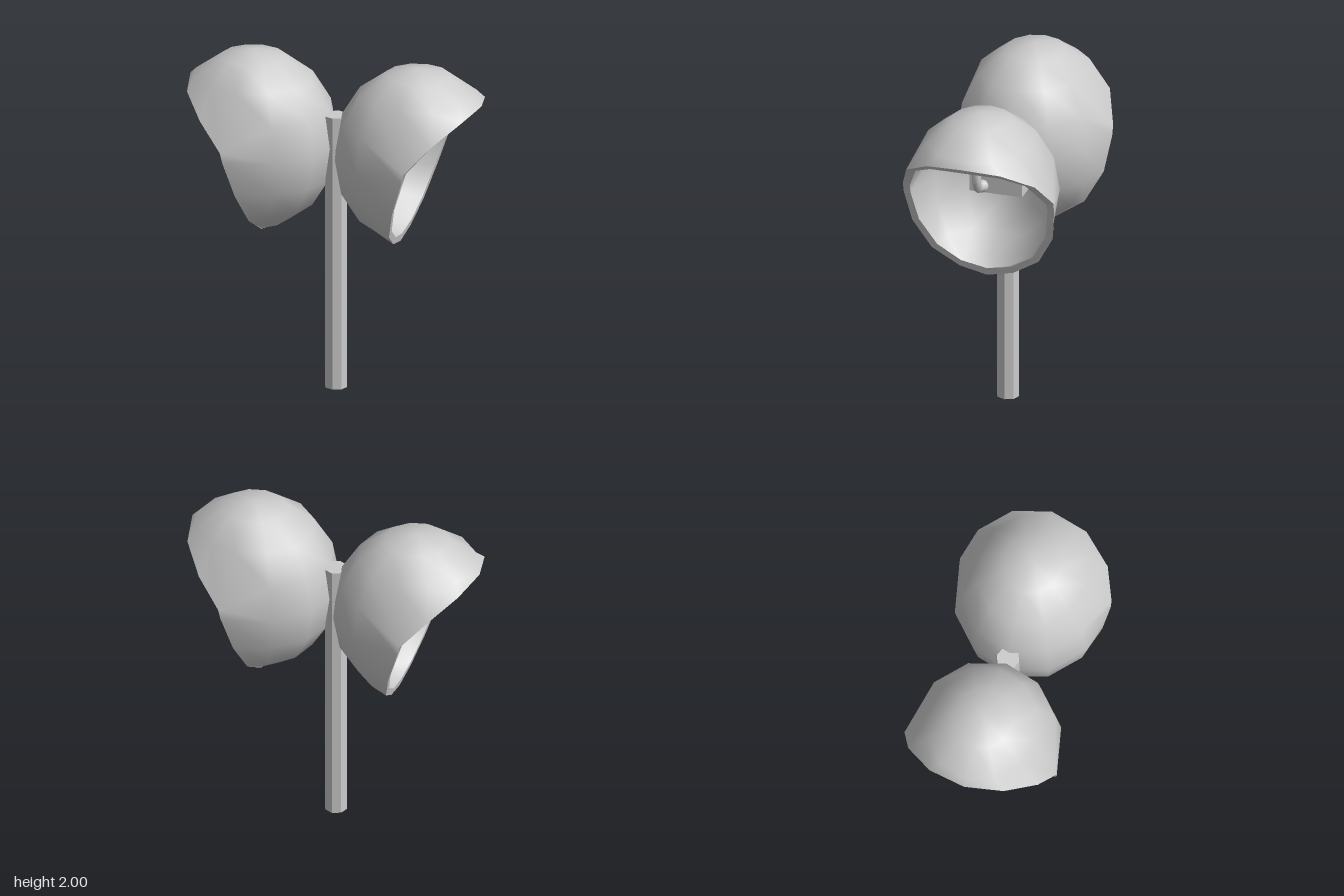
import * as THREE from 'three';
import { mergeVertices } from 'three/addons/utils/BufferGeometryUtils.js';

const material = new THREE.MeshStandardMaterial({ color: 0xcccccc });
const CENTRE = new THREE.Vector3(0.49, 1.465, 0); // middle of the +x hood
const RADII = new THREE.Vector3(0.49, 0.535, 0.45);
const INNER = 0.91; // inner wall as a fraction of the outer
const COLUMNS = 12;
const ROWS = 8;
const WING = 3; // columns and rows up to here belong to the visor above the opening

// Half of the open edge, from the tip of the visor to the bottom of the hood
const OUTER_RIM = [[0.87, 1.81, 0], [0.82, 1.78, 0.22], [0.69, 1.675, 0.385], [0.55, 1.52, 0.45],
  [0.535, 1.46, 0.45], [0.47, 1.255, 0.42], [0.42, 1.075, 0.32], [0.395, 0.97, 0.16], [0.385, 0.93, 0]];
const INNER_RIM = [[0.838, 1.775, 0], [0.79, 1.75, 0.21], [0.69, 1.675, 0.33], [0.55, 1.51, 0.408],
  [0.535, 1.46, 0.41], [0.47, 1.265, 0.38], [0.425, 1.1, 0.285], [0.405, 1.01, 0.15], [0.395, 0.977, 0]];

function addMesh(parent, name, geometry, mat = material) {
  const mesh = new THREE.Mesh(geometry, mat);
  mesh.name = name;
  parent.add(mesh);
  return mesh;
}

// Skins rows of points, leaving out the cells that fall in the opening.
function skin(rows, isOpen = () => false, inward = false) {
  const n = rows[0].length;
  const index = [];
  for (let i = 0; i < rows.length - 1; i++) {
    for (let j = 0; j < n - 1; j++) {
      if (isOpen(i, j)) continue;
      const a = i * n + j, b = a + 1, c = a + n, d = c + 1;
      if (inward) index.push(a, c, b, b, c, d);
      else index.push(a, b, c, b, d, c);
    }
  }
  const geometry = new THREE.BufferGeometry().setFromPoints(rows.flat());
  geometry.setIndex(index);
  const merged = mergeVertices(geometry, 1e-5);
  merged.computeVertexNormals();
  return merged;
}

const inOpening = (i, j) => i >= WING && (j < WING || j >= COLUMNS - WING);

// Ellipsoid grid, row by row from the top, whose front columns end on the rim.
function hoodRows(rim, scale) {
  return Array.from({ length: ROWS + 1 }, (_, i) => Array.from({ length: COLUMNS + 1 }, (_, j) => {
    const column = Math.min(j, COLUMNS - j); // distance from the front centre line
    const side = j <= COLUMNS / 2 ? 1 : -1;
    if (i === ROWS || (i >= WING && column <= WING)) {
      const [x, y, z] = rim[column < WING && i < ROWS ? column : i];
      return new THREE.Vector3(x, y, side * z);
    }
    const polar = i / ROWS * Math.PI;
    const turn = column / COLUMNS * Math.PI * 2;
    return new THREE.Vector3(
      Math.sin(polar) * Math.cos(turn),
      Math.cos(polar),
      side * Math.sin(polar) * Math.sin(turn),
    ).multiply(RADII).multiplyScalar(scale).add(CENTRE);
  }));
}

// Closed loop of points along the whole open edge.
function rimLoop(rim) {
  const left = rim.map((p) => new THREE.Vector3(...p));
  const right = rim.slice(0, -1).reverse().map(([x, y, z]) => new THREE.Vector3(x, y, -z));
  return [...left, ...right];
}

function createBooth() {
  const booth = new THREE.Group();

  // Hood: outer wall, rim band and inner wall
  addMesh(booth, 'hoodOuter', skin(hoodRows(OUTER_RIM, 1), inOpening));
  addMesh(booth, 'hoodRim', skin([rimLoop(OUTER_RIM), rimLoop(INNER_RIM)]));
  addMesh(booth, 'hoodInner', skin(hoodRows(INNER_RIM, INNER), inOpening, true));

  // Telephone body set into the rear wall
  const body = addMesh(booth, 'telephoneBody', new THREE.BoxGeometry(0.11, 0.31, 0.315));
  body.position.set(0.165, 1.52, 0.002);

  // Handset: bowed grip with a round cap at each end
  const handset = new THREE.Group();
  handset.name = 'handset';
  handset.position.set(0.075, 1.525, 0.072);
  booth.add(handset);
  const path = new THREE.CatmullRomCurve3([
    [0.19, -0.105], [0.245, -0.09], [0.275, -0.045], [0.28, 0], [0.275, 0.045], [0.245, 0.09], [0.19, 0.105],
  ].map(([x, y]) => new THREE.Vector3(x, y, 0)));
  addMesh(handset, 'grip', new THREE.TubeGeometry(path, 16, 0.027, 8));
  for (const side of [-1, 1]) {
    const cap = addMesh(handset, side > 0 ? 'earpiece' : 'mouthpiece', new THREE.SphereGeometry(0.037, 12, 8));
    cap.position.set(0.18, side * 0.105, 0);
  }
  return booth;
}

export function createModel() {
  const model = new THREE.Group();
  model.name = 'doubleTelephoneHood';

  // Hollow eight-sided pole with a closed top
  const height = 1.655, radius = 0.067;
  const poleMaterial = new THREE.MeshStandardMaterial({
    color: 0xcccccc, flatShading: true, side: THREE.DoubleSide,
  });
  const tube = new THREE.CylinderGeometry(radius, radius, height, 8, 1, true).translate(0, height / 2, 0);
  addMesh(model, 'pole', tube, poleMaterial);
  const top = new THREE.CircleGeometry(radius, 8).rotateX(-Math.PI / 2).translate(0, height, 0);
  addMesh(model, 'poleTop', top, poleMaterial);

  // Two booths back to back, half a turn apart
  for (const [name, turn] of [['leftBooth', 0], ['rightBooth', Math.PI]]) {
    const booth = createBooth();
    booth.name = name;
    booth.rotation.y = turn;
    model.add(booth);
  }
  return model;
}
